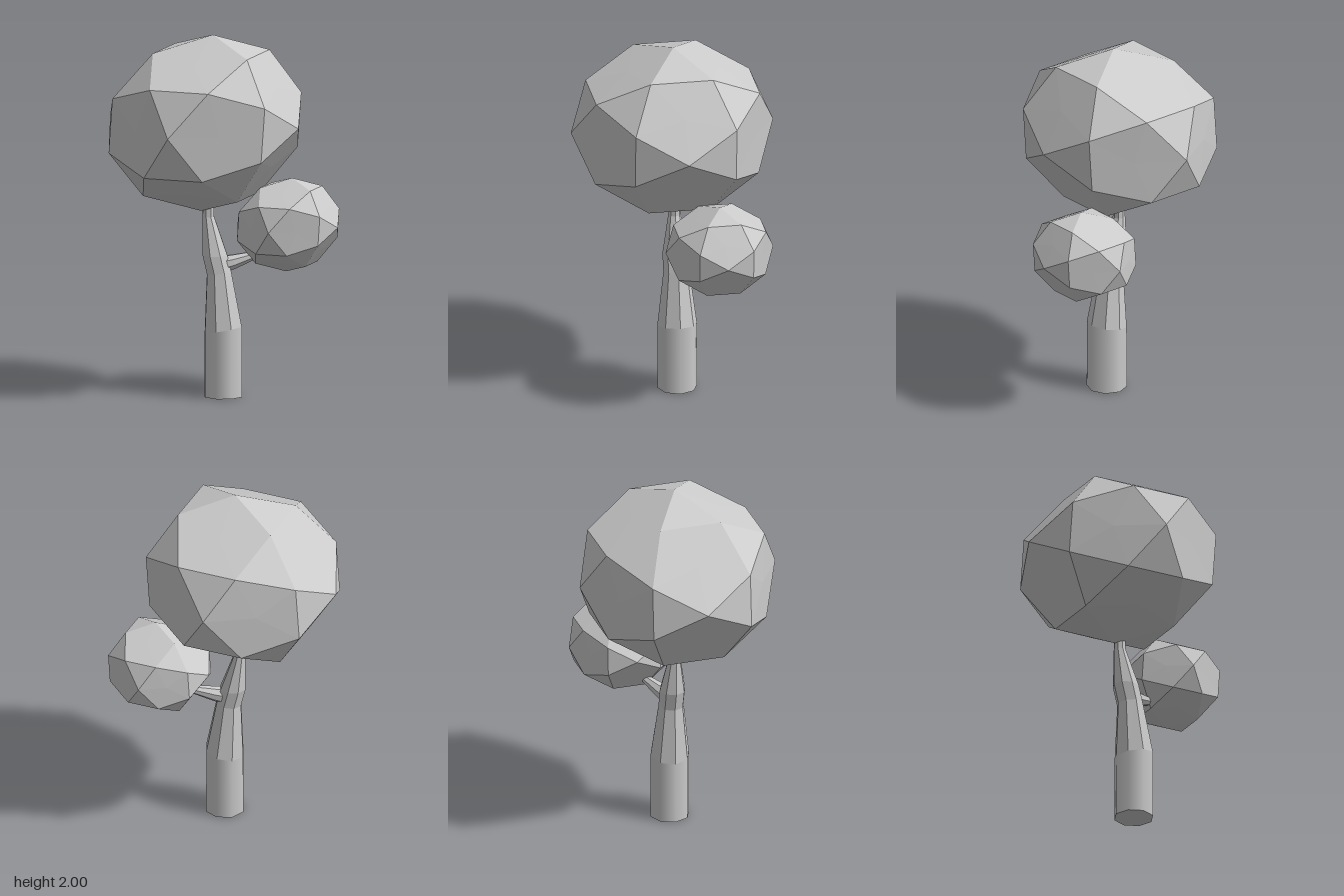
import * as THREE from 'three';

const smoothMat = new THREE.MeshStandardMaterial({ color: 0xcccccc });
const flatMat = new THREE.MeshStandardMaterial({ color: 0xcccccc, flatShading: true });
const UP = new THREE.Vector3(0, 1, 0);

// Tapered eight-sided limb through rings of { at: centre, r: radius, dir: facing }
function limb(name, rings, flat) {
  const last = rings.length - 1;
  let geo = new THREE.CylinderGeometry(1, 1, 1, 8, last);
  const pos = geo.attributes.position;
  const v = new THREE.Vector3();
  const q = new THREE.Quaternion();
  for (let i = 0; i < pos.count; i++) {
    v.fromBufferAttribute(pos, i);
    const { at, r, dir = [0, 1, 0] } = rings[Math.round((v.y + 0.5) * last)];
    v.y = 0;
    q.setFromUnitVectors(UP, new THREE.Vector3(...dir).normalize());
    v.multiplyScalar(r).applyQuaternion(q).add(new THREE.Vector3(...at));
    pos.setXYZ(i, v.x, v.y, v.z);
  }
  if (flat) {
    geo = geo.toNonIndexed();
    geo.computeVertexNormals();
  }
  const mesh = new THREE.Mesh(geo, flat ? flatMat : smoothMat);
  mesh.name = name;
  return mesh;
}

// Faceted crown: subdivided icosahedron whose twelve original corners are
// pressed in until the faces around them form near-flat pentagons
function crown(name, centre, radii, lean) {
  const geo = new THREE.IcosahedronGeometry(1, 1);
  geo.rotateY(Math.PI / 2);
  const pos = geo.attributes.position;
  const v = new THREE.Vector3();
  for (let i = 0; i < pos.count; i++) {
    v.fromBufferAttribute(pos, i);
    const zeros = v.toArray().filter((c) => Math.abs(c) < 0.01).length;
    if (zeros === 1) v.multiplyScalar(0.856);
    const shift = lean * (v.y > 0 ? v.y : v.y * 0.4);
    pos.setXYZ(i, v.x * radii[0] + shift, v.y * radii[1], v.z * radii[2]);
  }
  geo.computeVertexNormals();
  const mesh = new THREE.Mesh(geo, flatMat);
  mesh.name = name;
  mesh.position.set(...centre);
  return mesh;
}

export function createModel() {
  const tree = new THREE.Group();
  tree.name = 'tree';

  // Trunk: smooth round base, then a faceted, bending upper part
  const rim = { at: [0.027, 0.37, -0.01], r: 0.11, dir: [-0.18, 1, 0] };
  tree.add(limb('trunkBase', [{ at: [0.027, 0, -0.01], r: 0.11 }, rim], false));
  tree.add(limb('trunkUpper', [
    rim,
    { at: [0.003, 0.68, -0.01], r: 0.072, dir: [-0.12, 1, 0] },
    { at: [-0.022, 0.78, -0.01], r: 0.073 },
    { at: [-0.06, 0.99, -0.01], r: 0.034 },
    { at: [-0.06, 1.12, -0.01], r: 0.03 },
  ], true));

  // Side branch curving up into the small crown
  tree.add(limb('branch', [
    { at: [0.01, 0.725, -0.02], r: 0.05, dir: [1, 0.2, -0.5] },
    { at: [0.07, 0.74, -0.05], r: 0.042, dir: [1, 0.25, -0.5] },
    { at: [0.16, 0.77, -0.1], r: 0.026, dir: [1, 0.5, -0.5] },
    { at: [0.27, 0.85, -0.16], r: 0.02, dir: [1, 0.8, -0.5] },
  ], true));

  // Crowns
  tree.add(crown('largeCrown', [-0.08, 1.51, 0], [0.55, 0.49, 0.56], 0.05));
  tree.add(crown('smallCrown', [0.335, 0.94, -0.19], [0.292, 0.26, 0.298], 0.025));
  return tree;
}
